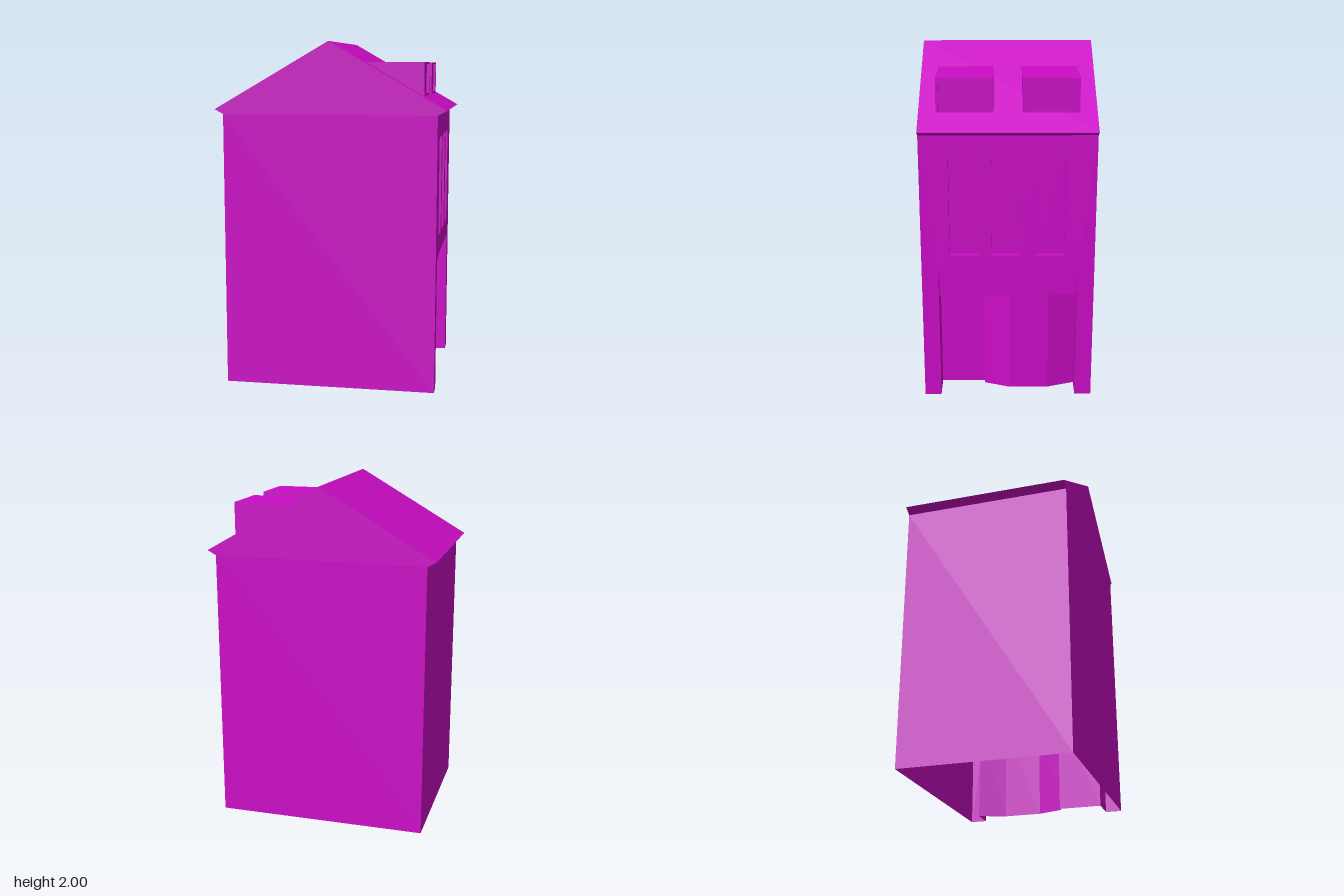
import * as THREE from 'three';

// Main dimensions
const HALF_W = 0.615, HALF_D = 0.49, EAVE_Y = 1.59, RIDGE_Y = 2;
const OPEN_Z = 0.395, OPEN_Y = 0.775, SIGN_Y = 0.62;

const rectPoints = (u0, v0, u1, v1) => [[u0, v0], [u1, v0], [u1, v1], [u0, v1]];
const vectors = (points) => points.map(([a, b]) => new THREE.Vector2(a, b));

// Flat-shaded ribbon: a 2D path swept straight along one axis
function ribbon(path, axis, t0, t1) {
  const place = {
    x: ([z, y], t) => [t, y, z],
    y: ([x, z], t) => [x, t, z],
    z: ([x, y], t) => [x, y, t],
  }[axis];
  const positions = [];
  for (let i = 0; i < path.length - 1; i++) {
    const a = place(path[i], t0), b = place(path[i + 1], t0);
    const c = place(path[i + 1], t1), d = place(path[i], t1);
    positions.push(...a, ...b, ...c, ...a, ...c, ...d);
  }
  const geometry = new THREE.BufferGeometry();
  geometry.setAttribute('position', new THREE.Float32BufferAttribute(positions, 3));
  geometry.computeVertexNormals();
  return geometry;
}

export function createModel() {
  const model = new THREE.Group();
  model.name = 'shopHouse';
  const magenta = new THREE.MeshStandardMaterial({ color: 0xcc0cc6, side: THREE.DoubleSide });
  magenta.name = 'magenta';

  const add = (name, geometry, parent = model) => {
    const mesh = new THREE.Mesh(geometry, magenta);
    mesh.name = name;
    parent.add(mesh);
    return mesh;
  };

  // Gable walls
  const outline = [
    [-HALF_W, 0], [HALF_W, 0], [HALF_W, EAVE_Y], [0.665, 1.617],
    [0, RIDGE_Y], [-0.665, 1.617], [-HALF_W, EAVE_Y],
  ];
  const gable = new THREE.ShapeGeometry(new THREE.Shape(vectors(outline)));
  add('frontGable', gable).position.z = HALF_D;
  const backGable = add('backGable', gable);
  backGable.position.z = -HALF_D;
  backGable.rotation.y = Math.PI;

  // Roof with eaves, and the plain side wall; the underside stays open
  add('roof', ribbon(outline.slice(2), 'z', -HALF_D, HALF_D));
  add('plainWall', ribbon([[-HALF_W, EAVE_Y], [-HALF_W, 0]], 'z', -HALF_D, HALF_D));

  // Street wall with a shop opening and three windows (drawn with u = -z)
  const street = new THREE.Shape(vectors([
    [-HALF_D, 0], [-OPEN_Z, 0], [-OPEN_Z, OPEN_Y], [OPEN_Z, OPEN_Y],
    [OPEN_Z, 0], [HALF_D, 0], [HALF_D, EAVE_Y], [-HALF_D, EAVE_Y],
  ]));
  for (const z of [0.245, 0.01, -0.235]) {
    const w = 0.084, y0 = 0.89, y1 = 1.46, inner = HALF_W - 0.03;
    street.holes.push(new THREE.Path(vectors(rectPoints(-z - w, y0, -z + w, y1))));
    const window = new THREE.Group();
    window.name = 'window';
    model.add(window);
    const loop = rectPoints(z - w, y0, z + w, y1);
    add('windowReveal', ribbon([...loop, loop[0]], 'x', inner, HALF_W), window);
    const pane = new THREE.PlaneGeometry(2 * w, y1 - y0).rotateY(Math.PI / 2);
    add('windowPane', pane, window).position.set(inner, (y0 + y1) / 2, z);
  }
  add('streetWall', new THREE.ShapeGeometry(street).rotateY(Math.PI / 2)).position.x = HALF_W;

  // Recessed shop: sign board, door and bowed display window
  const doorX = 0.455, bayX = 0.48, bowX = 0.535;
  add('signBoard', ribbon(
    [[doorX, SIGN_Y], [0.565, SIGN_Y], [0.565, OPEN_Y], [HALF_W, OPEN_Y]], 'z', -OPEN_Z, OPEN_Z));
  add('doorJamb', ribbon([[HALF_W, OPEN_Z], [doorX, OPEN_Z]], 'y', 0, OPEN_Y));
  add('shopDoor', ribbon([[doorX, OPEN_Z], [doorX, 0.14], [bayX, 0.14]], 'y', 0, SIGN_Y));
  add('bowWindow', ribbon(
    [[bayX, 0.14], [bowX, -0.01], [bowX, -0.235], [bayX, -OPEN_Z]], 'y', 0, SIGN_Y));
  add('bayJamb', ribbon([[bayX, -OPEN_Z], [HALF_W, -OPEN_Z]], 'y', 0, OPEN_Y));

  // Two flat-topped dormers with shallow recessed fronts
  const top = 1.885, sill = 1.695, faceX = 0.53, rim = 0.015, half = 0.157;
  const wedge = new THREE.ExtrudeGeometry(
    new THREE.Shape(vectors([[0.2, top], [faceX - rim, sill + 0.008], [faceX - rim, top]])),
    { depth: 2 * half, bevelEnabled: false }).translate(0, 0, -half);
  const frameShape = new THREE.Shape(vectors(rectPoints(-half, sill, half, top)));
  frameShape.holes.push(new THREE.Path(vectors(
    rectPoints(-half + rim, sill + 0.012, half - rim, top - 0.01))));
  const frame = new THREE.ExtrudeGeometry(frameShape, { depth: rim, bevelEnabled: false })
    .rotateY(Math.PI / 2).translate(faceX - rim, 0, 0);
  for (const z of [0.237, -0.237]) {
    const dormer = new THREE.Group();
    dormer.name = 'dormer';
    dormer.position.z = z;
    model.add(dormer);
    add('dormerBody', wedge, dormer);
    add('dormerFrame', frame, dormer);
  }

  return model;
}
